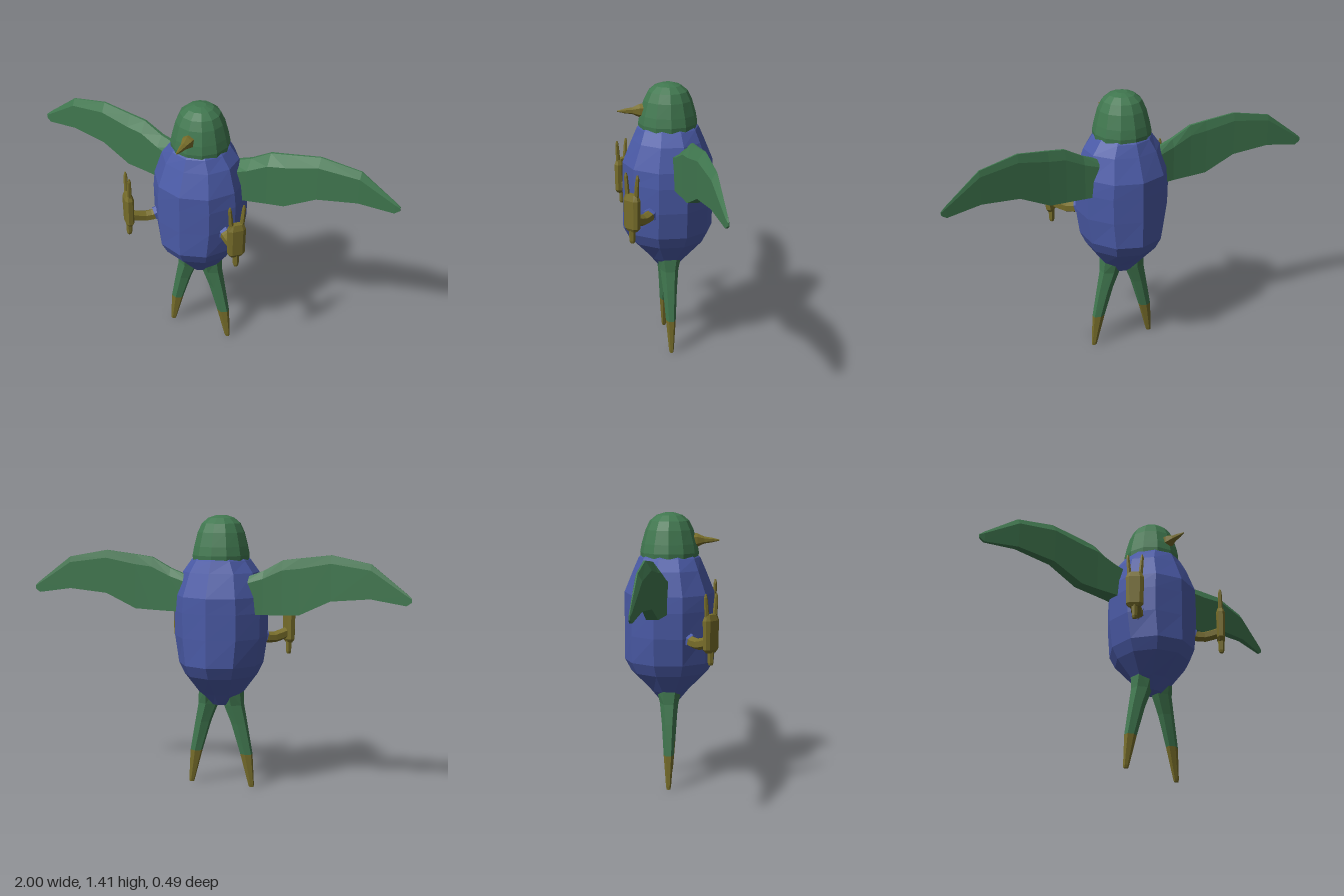
import * as THREE from 'three';

const material = (color) => new THREE.MeshStandardMaterial({ color, flatShading: true });

// Ellipse ring around y, counter-clockwise seen from above
function ring(y, rx, rz, cx, cz, n) {
  return Array.from({ length: n }, (_, i) => {
    const a = (i / n) * Math.PI * 2;
    return [cx + Math.sin(a) * rx, y, cz + Math.cos(a) * rz];
  });
}

// Skin a list of equal-length rings and close both ends
function loft(rings) {
  const n = rings[0].length, pos = rings.flat(2), idx = [];
  for (let r = 0; r < rings.length - 1; r++) {
    for (let i = 0; i < n; i++) {
      const a = r * n + i, b = r * n + (i + 1) % n;
      idx.push(a, b, b + n, a, b + n, a + n);
    }
  }
  const last = (rings.length - 1) * n;
  for (let i = 1; i < n - 1; i++) {
    idx.push(0, i + 1, i, last, last + i, last + i + 1);
  }
  const g = new THREE.BufferGeometry();
  g.setAttribute('position', new THREE.Float32BufferAttribute(pos, 3));
  g.setIndex(idx);
  g.computeVertexNormals();
  return g;
}

// Mirror a geometry across x = 0 and restore its winding
function mirrored(geometry) {
  const g = geometry.clone().scale(-1, 1, 1);
  const ix = g.index.array;
  for (let i = 0; i < ix.length; i += 3) [ix[i], ix[i + 1]] = [ix[i + 1], ix[i]];
  g.computeVertexNormals();
  return g;
}

export function createModel() {
  const model = new THREE.Group();
  model.name = 'bird';
  const blue = material(0x4a5aa6), green = material(0x40774f), olive = material(0x776d2a);

  const add = (name, geometry, mat) => {
    const mesh = new THREE.Mesh(geometry, mat);
    mesh.name = name;
    model.add(mesh);
  };
  const addPair = (name, geometry, mat) => {
    add('left' + name, geometry, mat);
    add('right' + name, mirrored(geometry), mat);
  };
  const turned = (sections, n, cz) =>
    loft(sections.map(([y, rx, rz]) => ring(y, rx, rz, 0, cz, n)));

  // Body: y, half width, half depth
  add('body', turned([
    [0.44, 0.05, 0.05], [0.5, 0.115, 0.1], [0.6, 0.188, 0.2], [0.66, 0.217, 0.232],
    [0.8, 0.24, 0.232], [0.93, 0.243, 0.232], [1.01, 0.235, 0.232],
    [1.13, 0.197, 0.183], [1.19, 0.152, 0.157], [1.21, 0.13, 0.135],
  ], 10, -0.012), blue);

  // Head: a dome slightly wider than the neck
  add('head', turned([
    [1.19, 0.146, 0.148], [1.215, 0.148, 0.15], [1.26, 0.139, 0.142], [1.33, 0.121, 0.122],
    [1.375, 0.1, 0.1], [1.403, 0.066, 0.066], [1.415, 0.028, 0.028],
  ], 12, -0.012), green);

  // Beak, lofted upwards and tipped forward
  add('beak', loft([
    [0.08, 0.036, 0.04], [0.13, 0.031, 0.034], [0.165, 0.018, 0.018],
    [0.205, 0.012, 0.012], [0.242, 0.003, 0.003],
  ].map(([y, rx, rz]) => ring(y, rx, rz, 0, 0, 6))).rotateX(Math.PI / 2).translate(0, 1.276, 0), olive);

  // Wings: x, top, bottom, front z, back z
  const wing = loft([
    [0.13, 1.1, 0.925, 0, -0.115], [0.25, 1.145, 0.925, -0.02, -0.105],
    [0.35, 1.2, 0.928, -0.038, -0.105], [0.44, 1.212, 0.932, -0.05, -0.108],
    [0.6, 1.232, 1.008, -0.072, -0.12], [0.8, 1.195, 1.028, -0.103, -0.137],
    [0.975, 1.062, 1.003, -0.136, -0.149], [1, 1.04, 1.02, -0.143, -0.15],
  ].map(([x, top, bottom, zf, zb]) => {
    const h = top - bottom, mid = zf * 0.4 + zb * 0.6;
    return [
      [x, bottom, zb], [x, top - h * 0.18, zb], [x, top, zb * 0.8 + zf * 0.2],
      [x, top, mid], [x, top - h * 0.2, zf], [x, bottom, zf],
    ];
  }));
  addPair('Wing', wing, green);

  // Forked tail: y, half width, half depth, centre x
  const feather = (sections) => loft(sections.map(([y, rx, rz, cx]) => ring(y, rx, rz, cx, -0.012, 6)));
  addPair('TailTip', feather([
    [0.005, 0.013, 0.01, 0.167], [0.02, 0.016, 0.013, 0.165], [0.18, 0.034, 0.026, 0.139],
  ]), olive);
  addPair('TailFeather', feather([
    [0.18, 0.034, 0.026, 0.139], [0.34, 0.044, 0.037, 0.1],
    [0.44, 0.055, 0.048, 0.07], [0.53, 0.06, 0.07, 0.06],
  ]), green);

  // Bent legs with a short thigh in the body colour
  const tube = (points, r) => new THREE.TubeGeometry(
    new THREE.CatmullRomCurve3(points.map((p) => new THREE.Vector3(...p))), 4, r, 6);
  addPair('Thigh', tube([[0.13, 0.81, 0.05], [0.17, 0.8, 0.08], [0.205, 0.787, 0.108]], 0.036), blue);
  addPair('Leg', tube([[0.185, 0.79, 0.095], [0.235, 0.78, 0.135], [0.29, 0.8, 0.19]], 0.029), olive);

  // Upright feet: a chamfered palm, two front toes and one hind toe
  const place = (g) => g.rotateY(Math.PI / 4).translate(0.302, 0.85, 0.2);
  const palm = [
    [-0.1, 0.028, 0.012], [-0.083, 0.042, 0.021], [0.06, 0.045, 0.023], [0.09, 0.034, 0.014],
  ].map(([y, w, t]) => [
    [-w * 0.6, y, t], [w * 0.6, y, t], [w, y, t * 0.5], [w, y, -t * 0.5],
    [w * 0.6, y, -t], [-w * 0.6, y, -t], [-w, y, -t * 0.5], [-w, y, t * 0.5],
  ]);
  addPair('Palm', place(loft(palm)), olive);
  for (const s of [-1, 1]) {
    const toe = [[0.06, 0.012, 0.026], [0.13, 0.011, 0.032], [0.175, 0.009, 0.036], [0.192, 0.004, 0.036]];
    addPair(s < 0 ? 'InnerToe' : 'OuterToe',
      place(loft(toe.map(([y, r, x]) => ring(y, r, r, s * x, 0, 6)))), olive);
  }
  const hind = [[-0.162, 0.011], [-0.15, 0.015], [-0.08, 0.017]];
  addPair('HindToe', place(loft(hind.map(([y, r]) => ring(y, r, r, 0, 0, 6)))), olive);

  return model;
}
